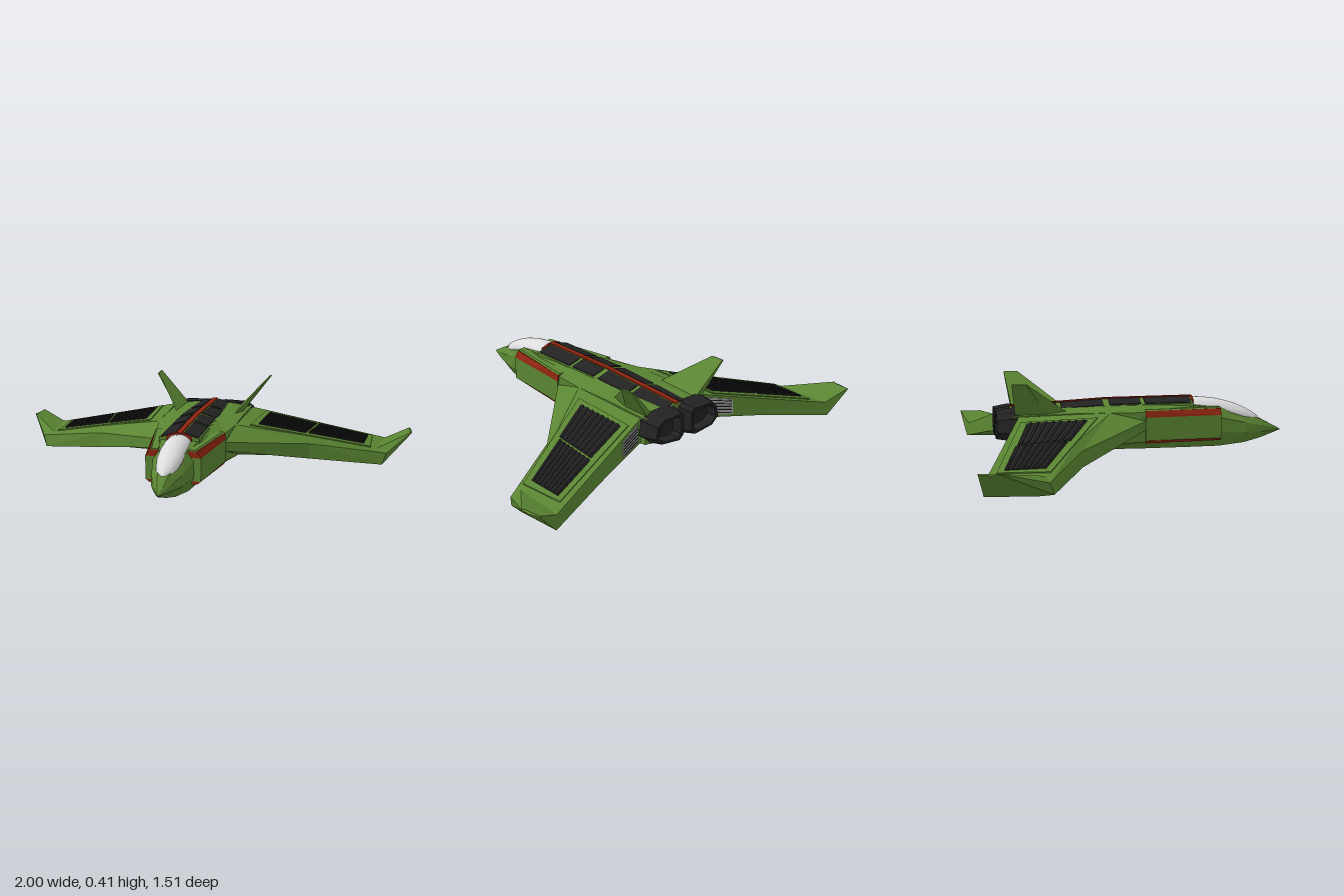
import * as THREE from 'three';
import { mergeVertices } from 'three/addons/utils/BufferGeometryUtils.js';

const mat = (name, color) => Object.assign(new THREE.MeshStandardMaterial({ color }), { name });

// Closed solid through equal-length loops of [x, y, z]; always wound outwards.
function loft(loops, smooth = false) {
  const tris = [], n = loops[0].length, last = loops.length - 1;
  for (let i = 0; i < last; i++) {
    for (let j = 0; j < n; j++) {
      const k = (j + 1) % n, a = loops[i], b = loops[i + 1];
      tris.push([a[j], a[k], b[k]], [a[j], b[k], b[j]]);
    }
  }
  for (let j = 1; j < n - 1; j++) {
    tris.push([loops[0][0], loops[0][j + 1], loops[0][j]]);
    tris.push([loops[last][0], loops[last][j], loops[last][j + 1]]);
  }
  let volume = 0;
  for (const [a, b, c] of tris) {
    volume += a[0] * (b[1] * c[2] - b[2] * c[1]) + a[1] * (b[2] * c[0] - b[0] * c[2]) + a[2] * (b[0] * c[1] - b[1] * c[0]);
  }
  if (volume < 0) tris.forEach(t => t.reverse());
  let g = new THREE.BufferGeometry();
  g.setAttribute('position', new THREE.Float32BufferAttribute(tris.flat(2), 3));
  if (smooth) g = mergeVertices(g, 1e-5);
  g.computeVertexNormals();
  return g;
}

const flip = loops => loops.map(l => l.map(([x, y, z]) => [-x, y, z]));
const mix = (a, b, t) => a.map((v, i) => v + (b[i] - v) * t);

// Thin plate over [x, z] corners, following a height rule.
const plate = (corners, height, lo, hi) =>
  [lo, hi].map(d => corners.map(([x, z]) => [x, height(x, z) + d, z]));

const wingTop = (x, z) => 0.255 - 0.258 * (x - 0.19) + 0.017 * (z + 0.1);
const ridge = z => (z > -0.1 ? 0.308 - (0.31 - z) * 0.012 : 0.303 + (z + 0.1) * 0.06);
const roof = (x, z) => ridge(z) - 0.28 * Math.abs(x);

export function createModel() {
  const model = new THREE.Group();
  model.name = 'fighterCraft';
  const green = mat('hull green', 0x5a8532);
  const dark = mat('panel black', 0x222223);
  const red = mat('trim red', 0x8c2410);
  const glass = mat('canopy white', 0xdcdcdc);
  const grey = mat('vent grey', 0xa0a0a0);

  const add = (name, loops, material, smooth) => {
    const mesh = new THREE.Mesh(loft(loops, smooth), material);
    mesh.name = name;
    model.add(mesh);
  };
  const pair = (name, loops, material) => {
    add(name + 'Left', loops, material);
    add(name + 'Right', flip(loops), material);
  };

  // Fuselage: z, then half-section points from belly to deck
  const hull = [
    [0.755, 0.002, 0.133, 0.004, 0.134, 0.004, 0.136, 0.002, 0.137],
    [0.66, 0.018, 0.1, 0.042, 0.13, 0.042, 0.16, 0.022, 0.188],
    [0.57, 0.04, 0.08, 0.073, 0.13, 0.07, 0.18, 0.04, 0.218],
    [0.44, 0.07, 0.07, 0.097, 0.14, 0.095, 0.21, 0.065, 0.256],
    [0.3, 0.085, 0.07, 0.115, 0.12, 0.115, 0.245, 0.09, 0.272],
    [0.07, 0.1, 0.07, 0.16, 0.11, 0.165, 0.25, 0.1, 0.277],
    [-0.1, 0.1, 0.07, 0.2, 0.105, 0.19, 0.255, 0.1, 0.275],
    [-0.3, 0.1, 0.07, 0.2, 0.1, 0.19, 0.255, 0.1, 0.27],
    [-0.56, 0.1, 0.11, 0.2, 0.125, 0.19, 0.245, 0.1, 0.26],
  ].map(([z, ...p]) => {
    const half = [0, 2, 4, 6].map(i => [p[i], p[i + 1], z]);
    return [...half, ...flip([half])[0].reverse()];
  });
  add('fuselage', hull, green);

  // Canopy bubble: z, half width, base height, top height
  const canopy = [
    [0.31, 0.062, 0.25, 0.303], [0.37, 0.063, 0.248, 0.301], [0.44, 0.063, 0.24, 0.292],
    [0.51, 0.06, 0.225, 0.274], [0.57, 0.05, 0.205, 0.25], [0.615, 0.035, 0.19, 0.225],
    [0.645, 0.012, 0.18, 0.203],
  ].map(([z, w, y, top]) => Array.from({ length: 15 }, (_, i) => {
    const a = Math.PI * i / 14;
    return [w * Math.cos(a), y + (top - y) * Math.sin(a), z];
  }));
  add('canopy', canopy, glass, true);

  // Dorsal spine, its red stripe and dark roof panels
  const spineZ = [0.31, -0.1, -0.56];
  add('spine', spineZ.map(z => [
    [0.095, 0.24, z], [0.095, roof(0.095, z), z], [0, ridge(z), z],
    [-0.095, roof(0.095, z), z], [-0.095, 0.24, z],
  ]), green);
  add('spineStripe', spineZ.map(z => [
    [0.013, ridge(z) - 0.02, z], [0.013, ridge(z) + 0.002, z],
    [-0.013, ridge(z) + 0.002, z], [-0.013, ridge(z) - 0.02, z],
  ]), red);
  add('canopyRearTrim', [0.318, 0.306].map(z => [
    [0.062, 0.25, z], [0.058, 0.295, z], [0.02, 0.309, z],
    [-0.02, 0.309, z], [-0.058, 0.295, z], [-0.062, 0.25, z],
  ]), red);
  for (const [z0, z1] of [[0.3, 0.08], [0.06, -0.09], [-0.12, -0.32], [-0.34, -0.55]]) {
    pair('spinePanel', plate([[0.02, z0], [0.088, z0], [0.088, z1], [0.02, z1]], roof, -0.004, 0.004), dark);
  }

  // Side intakes: green cheek between red chamfers, with a green cover above
  const cheek = (y0, y1, front, rear) => [
    [[0.07, y0, 0.44], [front[0], y0, 0.44], [front[1], y1, 0.44], [0.07, y1, 0.44]],
    [[0.1, y0, 0.07], [rear[0], y0, 0.07], [rear[1], y1, 0.07], [0.1, y1, 0.07]],
  ];
  pair('intakeCheek', cheek(0.117, 0.227, [0.128, 0.13], [0.172, 0.174]), green);
  pair('intakeUpperTrim', cheek(0.227, 0.257, [0.13, 0.112], [0.174, 0.168]), red);
  pair('intakeLowerTrim', cheek(0.104, 0.117, [0.112, 0.128], [0.165, 0.172]), red);
  pair('intakeCover', cheek(0.257, 0.263, [0.106, 0.1], [0.168, 0.16]), green);

  // Wings with upturned tips; each station runs from upper crease round to trailing top
  const top = (x, z) => [x, wingTop(x, z), z];
  const wing = [
    [top(0.19, -0.1), [0.17, 0.21, 0.07], [0.17, 0.167, 0.07], [0.19, 0.1, -0.13], [0.2, 0.13, -0.535], top(0.2, -0.53)],
    [top(0.5, -0.29), [0.53, 0.135, -0.27], [0.53, 0.06, -0.27], [0.53, 0.05, -0.35], [0.53, 0.075, -0.63], top(0.53, -0.625)],
    [top(0.84, -0.46), [0.89, 0.06, -0.45], [0.87, 0.005, -0.43], [0.87, 0, -0.5], [0.87, 0.004, -0.728], top(0.86, -0.72)],
    [[0.99, 0.12, -0.66], [1, 0.122, -0.66], [1, 0.118, -0.66], [0.998, 0.116, -0.7], [0.985, 0.118, -0.757], [0.98, 0.122, -0.757]],
  ];
  pair('wing', wing, green);

  // Raised wing frame with two ribbed dark panels
  pair('wingFrame', plate([[0.8, -0.67], [0.27, -0.525], [0.25, -0.17], [0.81, -0.44]], wingTop, -0.004, 0.005), green);
  const panels = [
    [[0.525, -0.56], [0.294, -0.5], [0.283, -0.22], [0.5, -0.32]],
    [[0.78, -0.635], [0.54, -0.57], [0.513, -0.335], [0.775, -0.455]],
  ];
  for (const [a, b, c, d] of panels) {
    pair('wingPanel', plate([a, b, c, d], wingTop, 0.002, 0.008), dark);
    for (let i = 0; i < 8; i++) {
      const t = (i + 0.3) / 8, u = (i + 0.7) / 8;
      pair('wingRib', plate([mix(a, d, t), mix(b, c, t), mix(b, c, u), mix(a, d, u)], wingTop, 0.006, 0.012), dark);
    }
  }

  // Vents on the trailing edge beside the nozzles
  const trailing = (t, v) => mix(mix(wing[0][4], wing[1][4], t), mix(wing[0][5], wing[1][5], t), v);
  const vent = (t0, t1, v0, v1, d) => [0.003, -d].map(o =>
    [[t0, v0], [t1, v0], [t1, v1], [t0, v1]].map(([t, v]) => {
      const [x, y, z] = trailing(t, v);
      return [x, y, z + o];
    }));
  pair('trailingVent', vent(0.08, 0.46, 0.12, 0.88, 0.004), grey);
  for (let i = 0; i < 5; i++) {
    const v = 0.2 + i * 0.14;
    pair('ventSlat', vent(0.1, 0.44, v, v + 0.035, 0.007), dark);
  }

  // Canted tail fins
  pair('tailFin', [
    [[0.14, 0.25, -0.29], [0.135, 0.25, -0.54], [0.172, 0.25, -0.545], [0.172, 0.25, -0.4]],
    [[0.284, 0.407, -0.5], [0.282, 0.407, -0.568], [0.29, 0.405, -0.568], [0.29, 0.405, -0.5]],
  ], green);

  // Hollow engine nozzles
  const ring = (z, s) => [
    [0.01, 0.14], [0.04, 0.115], [0.17, 0.13], [0.215, 0.17], [0.2, 0.235], [0.16, 0.262], [0.03, 0.266], [0.01, 0.25],
  ].map(([x, y]) => [0.11 + (x - 0.11) * s, 0.19 + (y - 0.19) * s, z]);
  pair('engineNozzle', [ring(-0.53, 1), ring(-0.57, 1), ring(-0.63, 0.85), ring(-0.63, 0.7), ring(-0.585, 0.6)], dark);

  return model;
}
